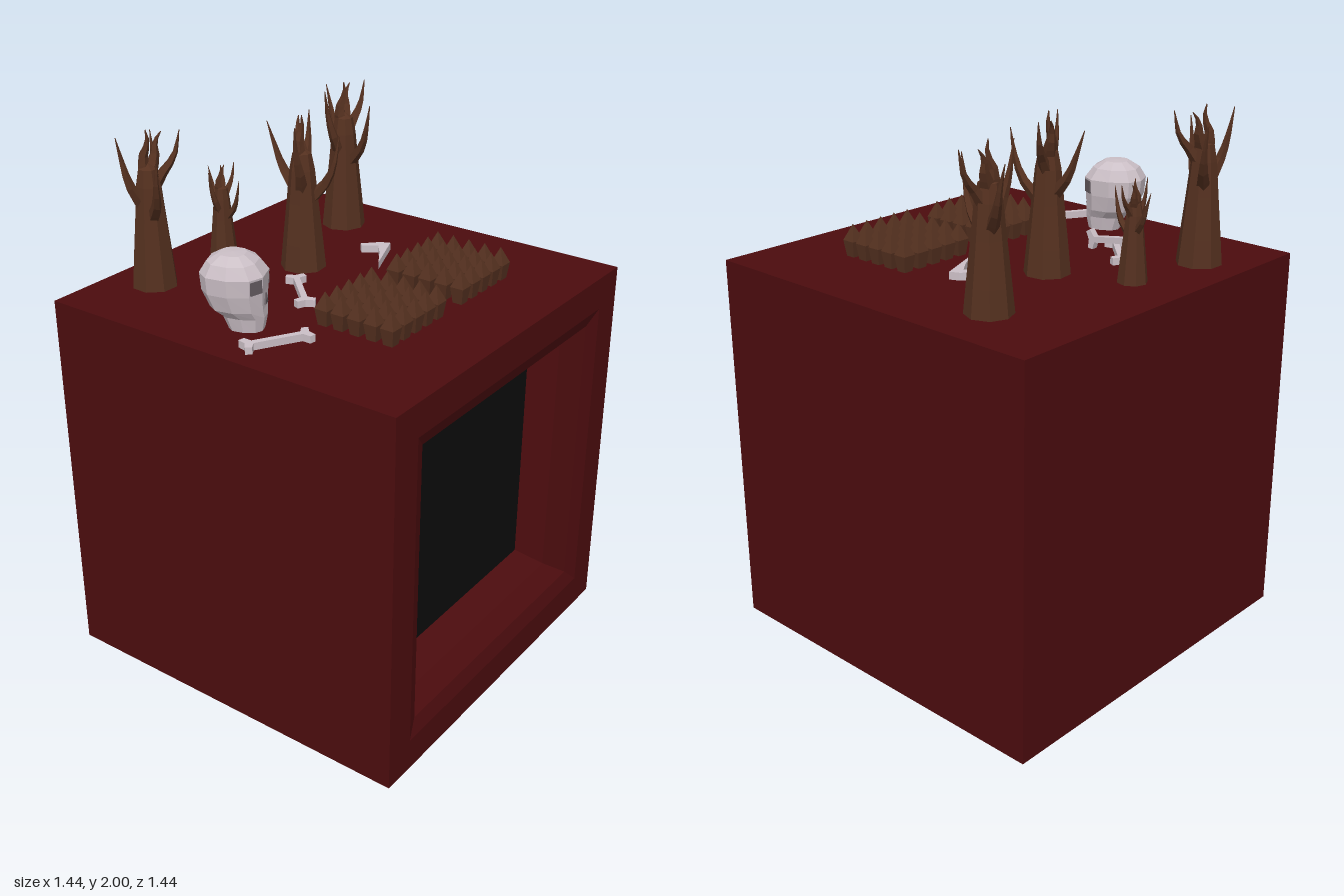
import * as THREE from 'three';

const mat = (name, color) => {
  const m = new THREE.MeshStandardMaterial({ color });
  m.name = name;
  return m;
};
const SIZE = 0.718, TOP = 1.435;

// Faceted normals
function flat(geo) {
  const g = geo.index ? geo.toNonIndexed() : geo;
  g.computeVertexNormals();
  return g;
}

// Lathe with four sides, flat sides facing the axes; sizes are half widths
function squareLathe(points) {
  const pts = points.map(([r, y]) => new THREE.Vector2(r * Math.SQRT2, y));
  return flat(new THREE.LatheGeometry(pts, 4).rotateY(Math.PI / 4));
}

// Tube along a curve that thins towards its tip
function branchGeometry(points, radius) {
  const segs = 6, sides = 5;
  const curve = new THREE.CatmullRomCurve3(points.map((p) => new THREE.Vector3(...p)));
  const geo = new THREE.TubeGeometry(curve, segs, radius, sides);
  const pos = geo.attributes.position, v = new THREE.Vector3();
  for (let i = 0; i < pos.count; i++) {
    const t = Math.floor(i / (sides + 1)) / segs;
    const c = curve.getPointAt(t);
    v.fromBufferAttribute(pos, i).sub(c).multiplyScalar(1 - 0.95 * t).add(c);
    pos.setXYZ(i, v.x, v.y, v.z);
  }
  return flat(geo);
}

// Flat outline in x and z, extruded upwards and centred on y = 0
function slab(outline, height) {
  const shape = new THREE.Shape(outline.map(([x, z]) => new THREE.Vector2(x, -z)));
  const geo = new THREE.ExtrudeGeometry(shape, { depth: height, bevelEnabled: false });
  return geo.translate(0, 0, -height / 2).rotateX(-Math.PI / 2);
}

// Skull from stacked rounded rings: y, half width, back z, front z
function skullGeometry() {
  const rings = [
    [0.01, 0, 0.03, 0.03], [0.01, 0.048, -0.03, 0.09], [0.06, 0.058, -0.05, 0.1],
    [0.09, 0.08, -0.09, 0.098], [0.15, 0.096, -0.115, 0.1], [0.21, 0.1, -0.12, 0.105],
    [0.25, 0.08, -0.095, 0.075], [0.274, 0.045, -0.055, 0.035], [0.276, 0, -0.01, -0.01],
  ];
  const n = rings.length;
  const geo = new THREE.LatheGeometry(rings.map((r) => new THREE.Vector2(1, r[0])), 10, Math.PI / 10);
  const pos = geo.attributes.position;
  const round = (s) => Math.sign(s) * Math.abs(s) ** 0.8;
  for (let i = 0; i < pos.count; i++) {
    const [y, w, back, front] = rings[i % n];
    pos.setXYZ(i, w * round(pos.getX(i)), y,
      (front + back) / 2 + ((front - back) / 2) * round(pos.getZ(i)));
  }
  return flat(geo);
}

export function createModel() {
  const model = new THREE.Group();
  const red = mat('darkRed', 0x4c0c0e);
  const black = mat('screenBlack', 0x0c0c0c);
  const bark = mat('bark', 0x54301f);
  const bone = mat('bone', 0xcbbfc6);
  const hollow = mat('socketGrey', 0x655c61);

  const add = (parent, name, geo, material, x = 0, y = 0, z = 0) => {
    const m = new THREE.Mesh(geo, material);
    m.name = name;
    m.position.set(x, y, z);
    parent.add(m);
    return m;
  };
  const group = (name, x, y, z) => {
    const g = new THREE.Group();
    g.name = name;
    g.position.set(x, y, z);
    model.add(g);
    return g;
  };

  // Cube body with a stepped frame sunk into the front
  const body = squareLathe([
    [0, -SIZE], [SIZE, -SIZE], [SIZE, SIZE], [0.595, SIZE],
    [0.54, SIZE - 0.02], [0.54, SIZE - 0.12], [0.485, SIZE - 0.22],
  ]).rotateX(Math.PI / 2);
  add(model, 'cubeBody', body, red, 0, TOP / 2 + 0.0005, 0);
  add(model, 'screen', new THREE.PlaneGeometry(0.97, 0.97), black, 0, TOP / 2, SIZE - 0.22);

  // Dead trees: flared trunk and bent branches
  const trunk = flat(new THREE.LatheGeometry(
    [[0, 0], [0.084, 0], [0.074, 0.1], [0.058, 0.25], [0.046, 0.37], [0.034, 0.43], [0, 0.45]]
      .map(([r, y]) => new THREE.Vector2(r, y)), 8));
  const branches = [
    [[0.01, 0.28, -0.02], [0.05, 0.36, -0.08], [0.065, 0.44, -0.11], [0.07, 0.52, -0.135]],
    [[0, 0.25, 0.02], [-0.01, 0.33, 0.09], [-0.02, 0.41, 0.12], [-0.02, 0.5, 0.135]],
    [[-0.02, 0.29, 0], [-0.07, 0.38, 0], [-0.085, 0.45, -0.01], [-0.105, 0.55, -0.01]],
    [[0.01, 0.35, 0], [0.06, 0.42, 0.01], [0.095, 0.46, 0.01], [0.12, 0.55, 0.01]],
    [[0, 0.38, 0], [-0.012, 0.46, -0.01], [0.005, 0.52, 0], [0, 0.565, 0]],
    [[0.0, 0.4, 0], [0.035, 0.47, -0.015], [0.04, 0.51, -0.02], [0.065, 0.545, -0.02]],
  ].map((p, i) => branchGeometry(p, i < 4 ? 0.026 : 0.032));
  for (const [x, z, turn, scale] of [
    [-0.4, -0.54, -0.42, 1], [-0.07, -0.5, 0.12, 0.64], [0.05, -0.22, 0.52, 1], [0.49, -0.36, 0, 1],
  ]) {
    const tree = group('tree', x, TOP, z);
    tree.rotation.y = turn;
    tree.scale.setScalar(scale);
    add(tree, 'trunk', trunk, bark);
    branches.forEach((b) => add(tree, 'branch', b, bark));
  }

  // Two square patches of spikes
  const spike = squareLathe([[0, 0], [0.018, 0], [0.026, 0.06], [0, 0.12]]);
  for (const startX of [-0.315, 0.106]) {
    const patch = group('spikePatch', startX, TOP, 0.155);
    for (let i = 0; i < 25; i++) {
      add(patch, 'spike', spike, bark, (i % 5) * 0.0665, 0, Math.floor(i / 5) * 0.0665);
    }
  }

  // Skull with eye sockets and nose
  const skull = group('skull', -0.515, TOP, -0.055);
  skull.rotation.y = 0.42;
  add(skull, 'cranium', skullGeometry(), bone);
  for (const side of [-1, 1]) {
    const eye = add(skull, 'eyeSocket', new THREE.BoxGeometry(0.046, 0.046, 0.009), hollow,
      side * 0.06, 0.18, 0.0805);
    eye.rotation.y = side * 0.65;
  }
  const nose = slab([[-0.016, 0.016], [0.016, 0.016], [0, -0.022]], 0.009).rotateX(Math.PI / 2);
  add(skull, 'noseHole', nose, hollow, 0, 0.12, 0.096);

  // Loose bones: shaft with a notched knob at each end
  const half = [[-0.085, 0.011], [-0.1, 0.038], [-0.122, 0.03], [-0.112, 0]];
  const left = [...half, ...half.slice(0, 3).reverse().map(([x, z]) => [x, -z])];
  const boneGeo = slab([...left, ...left.map(([x, z]) => [-x, -z])], 0.026);
  for (const [x, y, z, turn, roll, tilt] of [
    [-0.547, 0.022, 0.135, -0.52, 0, 0],
    [-0.18, 0.022, -0.055, 0.82, 0, 0],
    [-0.255, 0.022, -0.29, 0.78, 0, 0],
    [-0.282, 0.05, -0.24, Math.PI / 2, Math.PI / 2, 0.16],
  ]) {
    const b = add(model, 'looseBone', boneGeo, bone, x, TOP + y, z);
    b.rotation.set(roll, turn, tilt, 'YZX');
    b.scale.x = roll ? 0.88 : 1;
  }

  // Broken bent bone
  const bent = slab([
    [0.165, 0.035], [0.35, -0.04], [0.335, -0.075], [0.28, -0.127],
    [0.265, -0.112], [0.3, -0.06], [0.25, -0.02],
  ], 0.028);
  add(model, 'bentBone', bent, bone, 0, TOP + 0.022, 0);

  return model;
}
